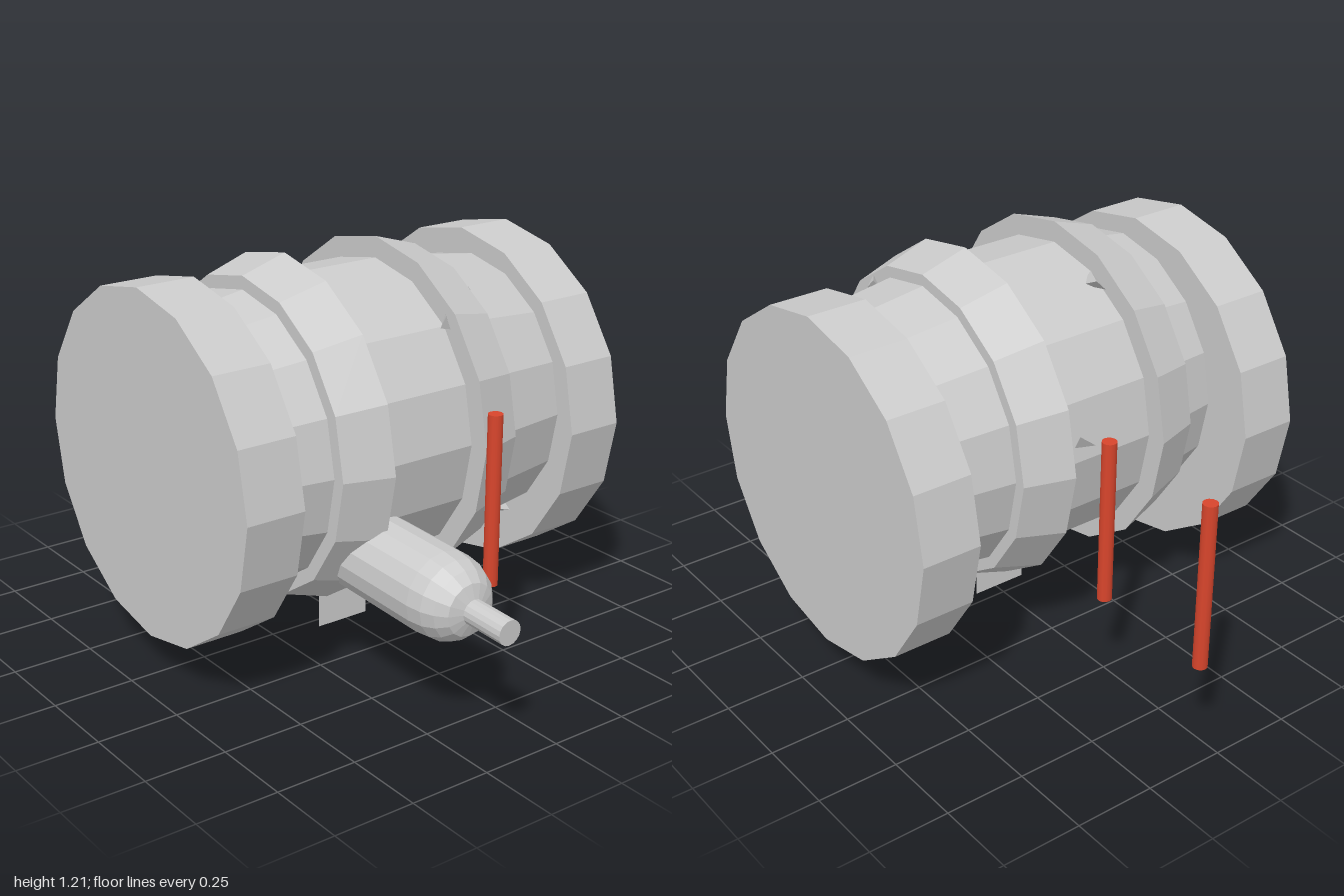
import * as THREE from 'three';

const grey = new THREE.MeshStandardMaterial({ color: 0xcccccc, flatShading: true, side: THREE.DoubleSide });
const red = new THREE.MeshStandardMaterial({ color: 0xd8452c });

export function createModel() {
  const model = new THREE.Group();
  const add = (name, geometry, material, x, y, z) => {
    const mesh = new THREE.Mesh(geometry, material);
    mesh.name = name;
    mesh.position.set(x, y, z);
    model.add(mesh);
    return mesh;
  };
  // Solid turned from [radius, height] pairs listed bottom to top
  const turned = (points) => new THREE.LatheGeometry(points.map(([r, h]) => new THREE.Vector2(r, h)), 16);
  const alongZ = (points) => turned(points).rotateX(Math.PI / 2);

  // Barrel lying along z
  const cx = 0.035, cy = 0.69;
  add('barrel', alongZ([
    [0, -0.49], [0.41, -0.485], [0.44, -0.26], [0.455, -0.11],
    [0.455, 0.215], [0.435, 0.36], [0.415, 0.485], [0, 0.49],
  ]), grey, cx, cy, 0);

  // Flared bands, wide edge towards the middle
  add('frontBand', alongZ([[0.45, 0.215], [0.52, 0.215], [0.475, 0.36], [0.43, 0.36]]), grey, cx, cy, 0);
  add('rearBand', alongZ([[0.435, -0.26], [0.475, -0.26], [0.52, -0.11], [0.45, -0.11]]), grey, cx, cy, 0);

  // Heavy end discs
  for (const side of [1, -1]) {
    const disc = new THREE.CylinderGeometry(0.528, 0.528, 0.185, 16).rotateX(Math.PI / 2);
    add(side > 0 ? 'frontDisc' : 'rearDisc', disc, grey, -0.018, 0.643, side * 0.578);
  }

  // Spigot with domed end and narrow tip, tilted slightly down
  const spigot = add('spigot', turned([
    [0, 0], [0.125, 0], [0.126, 0.47], [0.12, 0.52], [0.104, 0.558],
    [0.078, 0.588], [0.037, 0.602], [0.037, 0.745], [0, 0.745],
  ]).rotateZ(-Math.PI / 2), grey, 0.25, 0.411, 0.181);
  spigot.rotation.z = -0.03;

  // Thin plate under the barrel
  add('footPlate', new THREE.PlaneGeometry(0.182, 0.28).rotateY(Math.PI / 2), grey, 0.042, 0.14, 0.014);

  // Red upright rods
  for (const x of [-0.978, -0.575, 0.632]) {
    add('rod', new THREE.CylinderGeometry(0.022, 0.022, 0.515, 12), red, x, 0.578, -0.07);
  }

  // Small splinters on the barrel: x, y, z, and size along each axis
  const splinters = [
    [0.27, 1.06, -0.275, 0.03, 0.03, 0.02], [0.375, 1.03, -0.1, 0.02, 0.035, 0.015],
    [0.36, 1.045, -0.19, 0.02, 0.02, 0.03], [-0.425, 0.76, -0.03, 0.02, 0.04, 0.05],
    [-0.18, 1.1, 0.19, 0.06, 0.03, 0.03], [0.24, 0.295, 0.31, 0.02, 0.03, 0.015],
    [0.12, 0.225, 0.175, 0.03, 0.03, 0.04], [0.3, 0.36, -0.4, 0.02, 0.015, 0.05],
  ];
  splinters.forEach(([x, y, z, sx, sy, sz]) => {
    add('splinter', new THREE.TetrahedronGeometry(1).scale(sx, sy, sz), grey, x, y, z);
  });

  return model;
}
